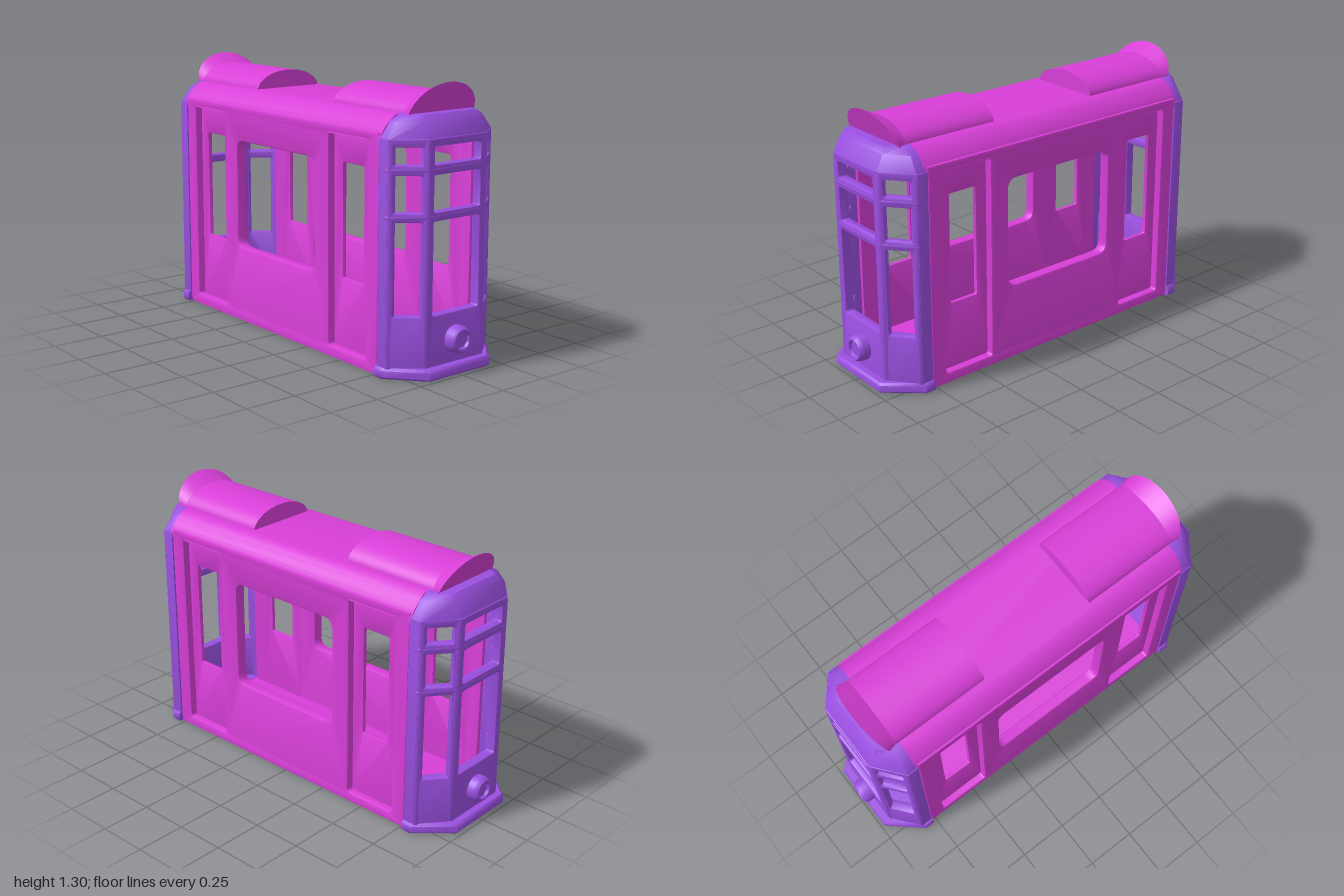
import * as THREE from 'three';
import { toCreasedNormals } from 'three/addons/utils/BufferGeometryUtils.js';

const pink = new THREE.MeshStandardMaterial({ color: 0xd83fd8 });
const purple = new THREE.MeshStandardMaterial({ color: 0x9a4fe0 });

function add(parent, name, geometry, material) {
  const mesh = new THREE.Mesh(toCreasedNormals(geometry, 0.7), material);
  mesh.name = name;
  parent.add(mesh);
  return mesh;
}

// Rectangle with rounded corners
function roundRect(target, x0, x1, y0, y1, r) {
  target.moveTo(x0 + r, y0);
  target.lineTo(x1 - r, y0).quadraticCurveTo(x1, y0, x1, y0 + r);
  target.lineTo(x1, y1 - r).quadraticCurveTo(x1, y1, x1 - r, y1);
  target.lineTo(x0 + r, y1).quadraticCurveTo(x0, y1, x0, y1 - r);
  target.lineTo(x0, y0 + r).quadraticCurveTo(x0, y0, x0 + r, y0);
  return target;
}

// Upright panel with windows [x0, x1, y0, y1, radius] and soft edges
function panel(x0, x1, y0, y1, windows, depth, bevel = 0.008) {
  const shape = new THREE.Shape([[x0, y0], [x1, y0], [x1, y1], [x0, y1]].map(p => new THREE.Vector2(...p)));
  shape.holes = windows.map(w => roundRect(new THREE.Path(), ...w));
  return new THREE.ExtrudeGeometry(shape, {
    depth: depth - 2 * bevel, bevelThickness: bevel, bevelSize: bevel,
    bevelOffset: -bevel, bevelSegments: 2, curveSegments: 5,
  }).translate(0, 0, bevel);
}

// Closed solid through matching convex sections of [x, y, z] points
function loft(sections) {
  const pos = [];
  const tri = (a, b, c) => pos.push(...a, ...b, ...c);
  const n = sections[0].length;
  for (let s = 0; s + 1 < sections.length; s++) {
    const low = sections[s], high = sections[s + 1];
    for (let i = 0; i < n; i++) {
      const j = (i + 1) % n;
      tri(low[i], high[i], low[j]);
      tri(low[j], high[i], high[j]);
    }
  }
  const first = sections[0], last = sections[sections.length - 1];
  for (let i = 1; i + 1 < n; i++) {
    tri(first[0], first[i], first[i + 1]);
    tri(last[0], last[i + 1], last[i]);
  }
  const geometry = new THREE.BufferGeometry();
  geometry.setAttribute('position', new THREE.Float32BufferAttribute(pos, 3));
  geometry.computeVertexNormals();
  return geometry;
}

function rod(parent, name, a, b, r) {
  const from = new THREE.Vector3(...a), to = new THREE.Vector3(...b);
  const mesh = add(parent, name, new THREE.CapsuleGeometry(r, from.distanceTo(to), 4, 12), purple);
  mesh.position.copy(from).add(to).multiplyScalar(0.5);
  mesh.quaternion.setFromUnitVectors(new THREE.Vector3(0, 1, 0), to.sub(from).normalize());
}

// Half-octagon cab plan: side x, side z, nose half width, nose z
const plan = (y, sx, sz, nx, nz) => [
  [sx, y, 0.77], [sx, y, sz], [nx, y, nz], [-nx, y, nz], [-sx, y, sz], [-sx, y, 0.77],
];

// Arch across the roof; its z may lean with height
function arch(halfWidth, height, zBase, zTop) {
  return Array.from({ length: 25 }, (_, i) => {
    const t = Math.PI * i / 24, s = Math.sin(t);
    return [-halfWidth * Math.cos(t), 1.17 + height * s, zBase + (zTop - zBase) * s];
  });
}

function buildSide() {
  const side = new THREE.Group();
  side.name = 'bodySide';
  // Wall with a wide window and two door openings
  const wall = add(side, 'sideWall', panel(-0.77, 0.77, 0.01, 1.1, [
    [-0.315, 0.315, 0.39, 0.93, 0.05],
    [-0.69, -0.42, 0.06, 1.06, 0.012],
    [0.42, 0.69, 0.06, 1.06, 0.012],
  ], 0.06, 0.012), pink);
  wall.rotation.y = Math.PI / 2;
  wall.position.x = 0.25;
  // Recessed doors
  for (const z of [-0.555, 0.555]) {
    const door = add(side, 'door', panel(-0.145, 0.145, 0.05, 1.07,
      [[-0.075, 0.075, 0.39, 0.93, 0.008]], 0.022, 0.004), pink);
    door.rotation.y = Math.PI / 2;
    door.position.set(0.25, 0, z);
  }
  return side;
}

function buildEnd() {
  const end = new THREE.Group();
  end.name = 'cab';
  const outline = plan(0, 0.312, 0.83, 0.17, 0.945).reverse();
  const rows = [[0.29, 0.715], [0.755, 0.92], [0.965, 1.045]];
  // Faceted cab walls with three rows of windows
  for (let i = 0; i < 5; i++) {
    const a = outline[i], b = outline[i + 1];
    const dx = b[0] - a[0], dz = b[2] - a[2], len = Math.hypot(dx, dz);
    const margin = i === 2 ? 0.033 : 0.027;
    const windows = i === 0 || i === 4 ? []
      : rows.map(([y0, y1]) => [margin, len - margin, y0, y1, 0.01]);
    const holder = new THREE.Group();
    holder.name = 'cabWall';
    holder.position.set(a[0], 0, a[2]);
    holder.rotation.y = Math.atan2(-dz, dx);
    end.add(holder);
    add(holder, 'cabPanel', panel(0, len, 0.01, 1.08, windows, 0.05, 0.006), purple).position.z = -0.05;
    // Rounded glazing bars
    if (windows.length) for (const y of [0.735, 0.943])
      rod(holder, 'glazingBar', [0.01, y, -0.022], [len - 0.01, y, -0.022], 0.024);
  }
  // Corner posts
  for (const s of [-1, 1]) {
    rod(end, 'nosePost', [s * 0.163, 0.04, 0.922], [s * 0.163, 1.06, 0.922], 0.024);
    rod(end, 'sidePost', [s * 0.287, 0.04, 0.82], [s * 0.287, 1.06, 0.82], 0.025);
  }
  // Sloping cab roof
  add(end, 'cabRoof', loft([
    plan(1.048, 0.312, 0.83, 0.17, 0.945), plan(1.075, 0.31, 0.83, 0.17, 0.942),
    plan(1.15, 0.255, 0.82, 0.165, 0.905), plan(1.178, 0.2, 0.81, 0.15, 0.885),
  ]), purple);
  // Bumper skirt and cab floor
  add(end, 'bumperSkirt', loft([
    plan(0.005, 0.318, 0.815, 0.175, 0.975), plan(0.015, 0.326, 0.82, 0.18, 0.985),
    plan(0.045, 0.326, 0.82, 0.18, 0.985), plan(0.057, 0.318, 0.815, 0.175, 0.975),
  ]), purple);
  // Headlight with a recessed lens
  const lamp = [[0, 0.985], [0.036, 0.985], [0.041, 0.998], [0.05, 1], [0.06, 0.99], [0.064, 0.975], [0.064, 0.93]]
    .reverse().map(([r, z]) => new THREE.Vector2(r, z));
  add(end, 'headlight', new THREE.LatheGeometry(lamp, 28).rotateX(Math.PI / 2), purple).position.y = 0.165;
  // Arched roof vent and the flared sign board in front of it
  add(end, 'roofVent', loft([arch(0.188, 0.095, 0.302, 0.302), arch(0.188, 0.095, 0.8, 0.8)]), pink);
  add(end, 'signBoard', loft([arch(0.186, 0.092, 0.79, 0.79), arch(0.195, 0.14, 0.832, 0.887)]), pink);
  return end;
}

export function createModel() {
  const model = new THREE.Group();
  model.name = 'tram';
  // Floor
  add(model, 'floor', new THREE.BoxGeometry(0.6, 0.05, 1.54).translate(0, 0.03, 0), pink);
  // Hollow roof with rounded shoulders
  const half = [[0.31, 1.06], [0.306, 1.085], [0.285, 1.12], [0.255, 1.152], [0.225, 1.172], [0.2, 1.178]];
  const inner = [[0.19, 1.13], [0.25, 1.06]];
  const mirror = list => list.map(([x, y]) => [-x, y]).reverse();
  const section = [...half, ...mirror(half), ...mirror(inner), ...inner];
  const roof = new THREE.Shape(section.map(p => new THREE.Vector2(...p)));
  add(model, 'roof', new THREE.ExtrudeGeometry(roof, { depth: 1.56, bevelEnabled: false }).translate(0, 0, -0.78), pink);
  // Both sides and both ends
  for (const turn of [0, Math.PI]) {
    for (const part of [buildSide(), buildEnd()]) {
      part.rotation.y = turn;
      model.add(part);
    }
  }
  return model;
}
